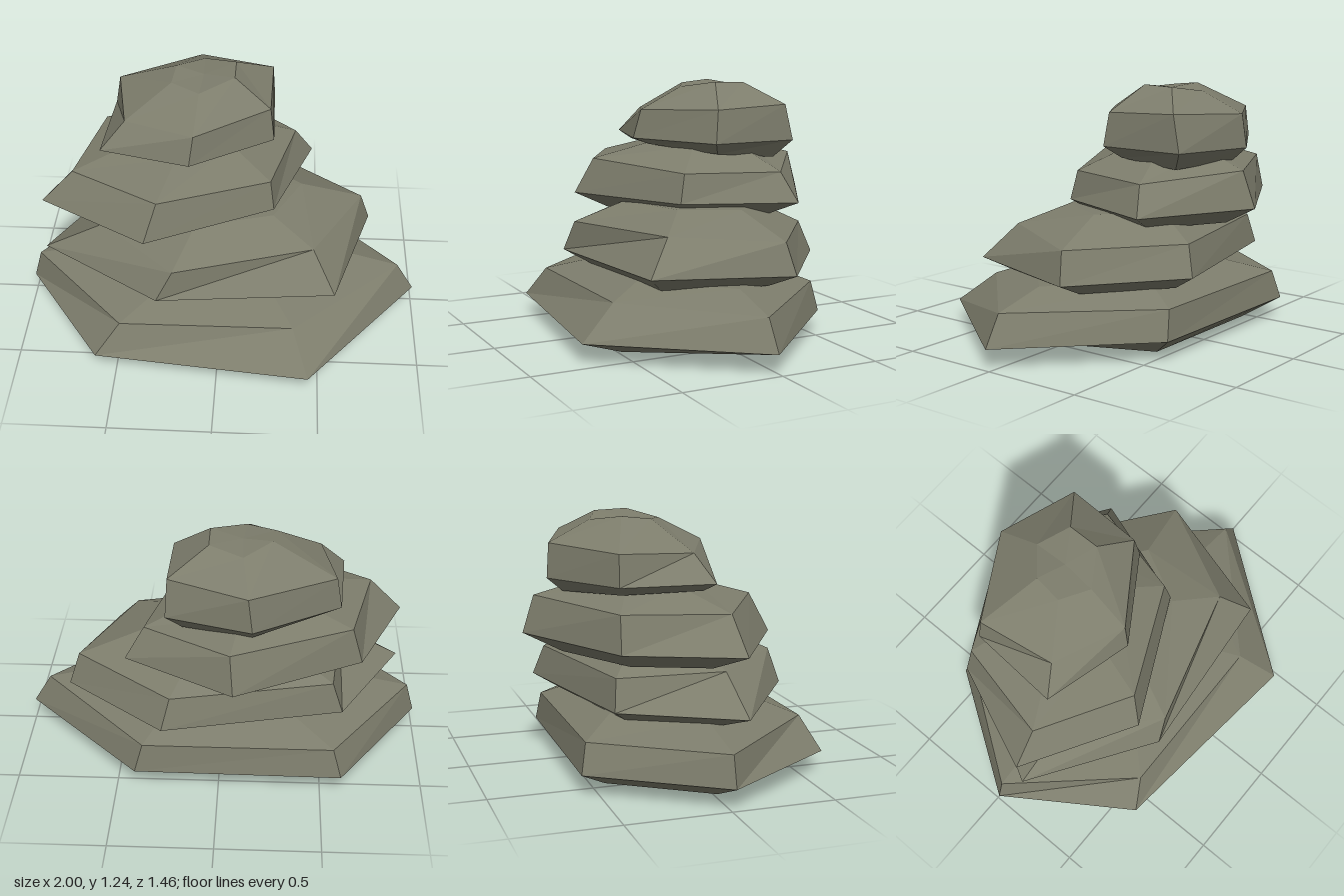
import * as THREE from 'three';

const stone = new THREE.MeshStandardMaterial({ color: 0x7d7d6c, flatShading: true });
stone.name = 'mossy grey stone';

// Shrinks a ring of [x, y, z] corners toward (cx, cz) and lays it flat at height y
const inset = (ring, cx, cz, s, y) => ring.map(([x, , z]) => [cx + (x - cx) * s, y, cz + (z - cz) * s]);

// Rock lofted through six-sided rings from bottom to top, closed by fans around centre points
function rock(name, rings, topY) {
  const pos = [];
  const tri = (a, b, c) => pos.push(...a, ...b, ...c);
  const centre = (ring) => [0, 1, 2].map((k) => ring.reduce((sum, p) => sum + p[k], 0) / ring.length);
  const first = rings[0], last = rings[rings.length - 1];
  const low = centre(first), high = centre(last);
  high[1] = topY;
  for (let i = 0; i < 6; i++) {
    const j = (i + 1) % 6;
    for (let r = 0; r < rings.length - 1; r++) {
      const a = rings[r], b = rings[r + 1];
      tri(a[i], a[j], b[j]);
      tri(a[i], b[j], b[i]);
    }
    tri(low, first[j], first[i]);
    tri(high, last[i], last[j]);
  }
  const geo = new THREE.BufferGeometry();
  geo.setAttribute('position', new THREE.Float32BufferAttribute(pos, 3));
  geo.computeVertexNormals();
  const mesh = new THREE.Mesh(geo, stone);
  mesh.name = name;
  return mesh;
}

export function createModel() {
  const group = new THREE.Group();
  group.name = 'stackedRocks';

  // Broad base rock; corners run left, front, right, back
  const foot1 = [[-0.76, 0, 0.02], [-0.51, 0, 0.46], [0.33, 0, 0.48], [0.49, 0, 0.02], [0.3, 0, -0.43], [-0.45, 0, -0.43]];
  const wide1 = [[-1, 0.1, 0.02], [-0.6, 0.1, 0.62], [0.45, 0.1, 0.73], [1, 0.1, 0.02], [0.41, 0.1, -0.57], [-0.6, 0.1, -0.58]];
  const upper1 = [[-0.96, 0.25, 0.02], [-0.48, 0.255, 0.55], [0.37, 0.255, 0.54], [0.91, 0.25, 0.02], [0.37, 0.245, -0.55], [-0.56, 0.245, -0.55]];
  group.add(rock('baseRock', [foot1, wide1, upper1, inset(upper1, 0.05, 0, 0.68, 0.32)], 0.33));

  // Second rock
  const wide2 = [[-0.9, 0.38, 0.12], [-0.3, 0.385, 0.52], [0.57, 0.39, 0.44], [0.76, 0.38, -0.22], [0.27, 0.38, -0.61], [-0.6, 0.38, -0.42]];
  const upper2 = [[-0.6, 0.535, 0.12], [-0.22, 0.54, 0.49], [0.46, 0.56, 0.3], [0.71, 0.535, -0.19], [0.23, 0.53, -0.56], [-0.55, 0.53, -0.4]];
  group.add(rock('lowerMiddleRock', [inset(wide2, 0, -0.05, 0.75, 0.3), wide2, upper2, inset(upper2, 0, -0.05, 0.56, 0.645)], 0.65));

  // Third rock
  const wide3 = [[-0.9, 0.665, 0.11], [-0.36, 0.665, 0.43], [0.26, 0.67, 0.13], [0.45, 0.665, -0.42], [-0.075, 0.67, -0.73], [-0.68, 0.665, -0.41]];
  const upper3 = [[-0.74, 0.835, 0.09], [-0.3, 0.845, 0.35], [0.24, 0.815, 0.1], [0.36, 0.81, -0.37], [-0.06, 0.85, -0.67], [-0.63, 0.84, -0.4]];
  group.add(rock('upperMiddleRock', [inset(wide3, -0.2, -0.15, 0.68, 0.575), wide3, upper3, inset(upper3, -0.15, -0.2, 0.5, 0.92)], 0.92));

  // Cap rock with a tilted underside and a slightly sunken crown
  const foot4 = [[-0.53, 0.91, 0.03], [-0.16, 0.92, 0.1], [0.17, 0.89, -0.12], [0.17, 0.86, -0.44], [-0.16, 0.88, -0.55], [-0.48, 0.9, -0.35]];
  const wide4 = [[-0.6, 0.95, 0.07], [-0.155, 0.955, 0.19], [0.25, 0.95, -0.07], [0.245, 0.95, -0.51], [-0.16, 0.945, -0.625], [-0.57, 0.95, -0.385]];
  const upper4 = [[-0.48, 1.08, 0], [-0.135, 1.1, 0.155], [0.23, 1.115, -0.09], [0.235, 1.13, -0.47], [-0.14, 1.11, -0.61], [-0.545, 1.1, -0.38]];
  const crown4 = [[-0.26, 1.22, -0.14], [-0.12, 1.21, -0.06], [0.05, 1.24, -0.17], [0.05, 1.235, -0.33], [-0.11, 1.21, -0.4], [-0.245, 1.235, -0.28]];
  group.add(rock('capRock', [foot4, wide4, upper4, crown4], 1.22));

  return group;
}
